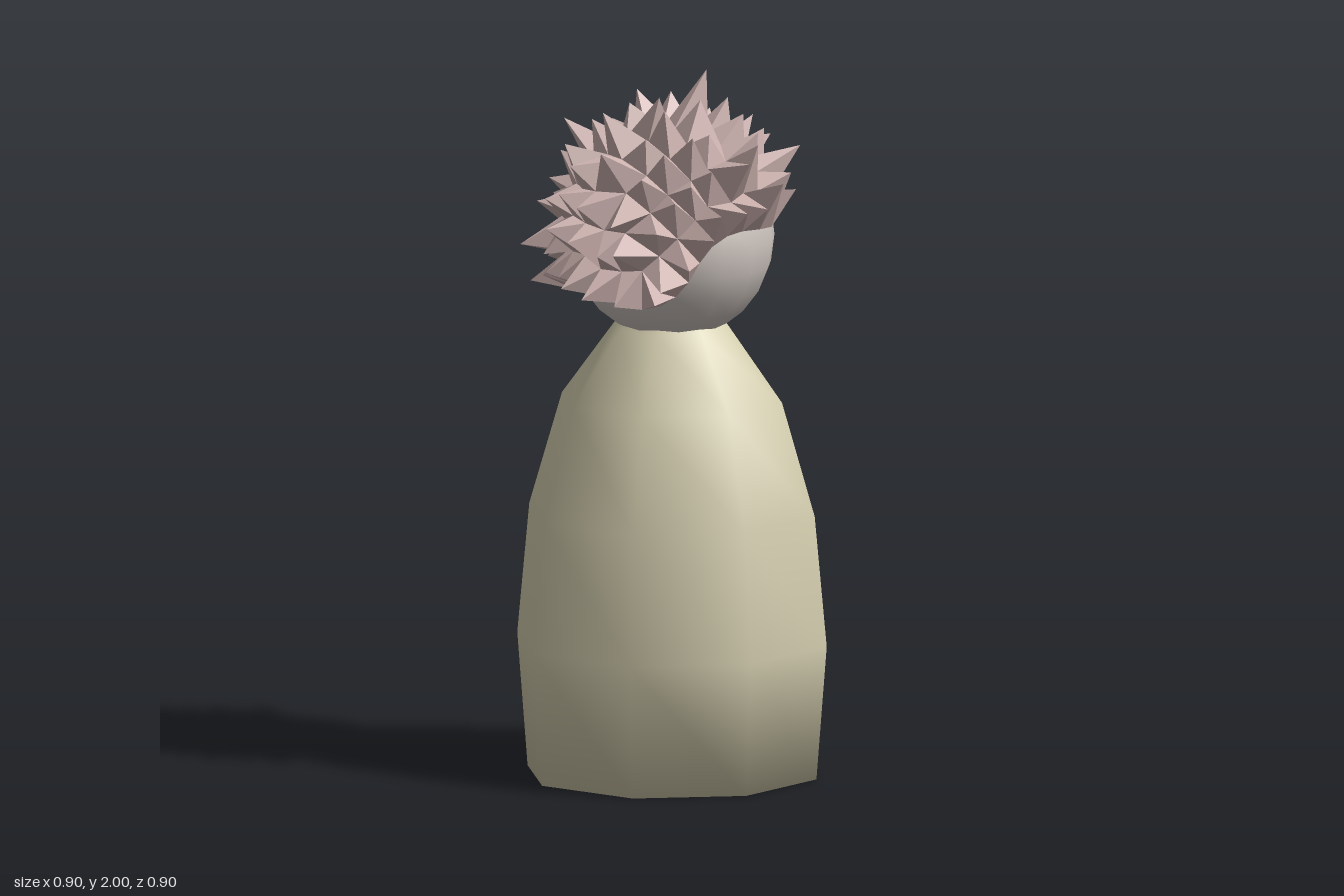
import * as THREE from 'three';

const CENTER = new THREE.Vector3(0, 1.53, 0);
const HEAD_R = 0.29;

function seeded(seed) {
  return () => {
    seed = (seed * 16807) % 2147483647;
    return seed / 2147483647;
  };
}

// Point on the tilted, square-cornered cap; u and v run from -1 to 1
function capPoint(u, v, radius) {
  let r = 0, phi = 0;
  if (Math.abs(u) > Math.abs(v)) {
    r = u;
    phi = (Math.PI / 4) * (v / u);
  } else if (v !== 0) {
    r = v;
    phi = Math.PI / 2 - (Math.PI / 4) * (u / v);
  }
  const reach = THREE.MathUtils.degToRad(82 + 18 * Math.sin(2 * phi) ** 2);
  const theta = r * reach;
  const a = Math.sin(theta) * Math.cos(phi);
  const b = Math.sin(theta) * Math.sin(phi);
  const c = Math.cos(theta);
  return new THREE.Vector3(a * 0.87 - c * 0.5, a * 0.5 + c * 0.87, -b)
    .normalize().multiplyScalar(radius).add(CENTER);
}

// Hair: every cell of the cap is pulled out into a four-sided spike
function hairGeometry() {
  const N = 9, R = 0.302;
  const rand = seeded(77);
  const at = (i) => (2 * i) / N - 1;
  const grid = [];
  for (let i = 0; i <= N; i++) {
    grid.push([]);
    for (let j = 0; j <= N; j++) {
      const edge = i === 0 || j === 0 || i === N || j === N;
      const jitter = edge ? 0 : 0.05;
      grid[i].push(capPoint(
        at(i) + (rand() - 0.5) * jitter, at(j) + (rand() - 0.5) * jitter,
        R + rand() * 0.012));
    }
  }

  const cells = [];
  for (let i = 0; i < N; i++) {
    for (let j = 0; j < N; j++) {
      const mid = capPoint(at(i + 0.5), at(j + 0.5), 1).sub(CENTER);
      const length = 0.365 + rand() * 0.055 + 0.02 * Math.max(mid.y, 0);
      const tip = mid.clone().multiplyScalar(length).add(CENTER);
      tip.x += (rand() - 0.5) * 0.05;
      tip.y += (rand() - 0.5) * 0.04;
      tip.z += (rand() - 0.5) * 0.05;
      cells.push({ i, j, mid, tip, taken: false });
    }
  }

  // The longest tufts
  const tufts = [
    [0.1, 2.0, 0.02], [0.33, 1.79, -0.02], [0.34, 1.78, 0.13],
    [-0.02, 1.74, -0.38], [0.04, 1.79, 0.37], [0.16, 1.72, 0.35],
    [-0.37, 1.5, -0.08], [-0.33, 1.76, 0.0], [-0.07, 1.94, 0.05],
    [0.06, 1.78, -0.35], [-0.33, 1.62, 0.23], [0.16, 1.7, -0.33],
  ];
  for (const t of tufts) {
    const tip = new THREE.Vector3(...t);
    const dir = tip.clone().sub(CENTER).normalize();
    let best = null;
    for (const c of cells) {
      if (!c.taken && (!best || c.mid.dot(dir) > best.mid.dot(dir))) best = c;
    }
    best.tip = tip;
    best.taken = true;
  }

  const pos = [];
  const tri = (...pts) => pts.forEach((p) => pos.push(p.x, p.y, p.z));
  for (const { i, j, tip } of cells) {
    const ring = [grid[i][j], grid[i + 1][j], grid[i + 1][j + 1], grid[i][j + 1]];
    for (let k = 0; k < 4; k++) tri(ring[k], ring[(k + 1) % 4], tip);
  }

  // Rim that turns in to the head
  const rim = [];
  for (let k = 0; k < N; k++) rim.push(grid[k][0]);
  for (let k = 0; k < N; k++) rim.push(grid[N][k]);
  for (let k = N; k > 0; k--) rim.push(grid[k][N]);
  for (let k = N; k > 0; k--) rim.push(grid[0][k]);
  const inner = rim.map((p) => p.clone().sub(CENTER).setLength(0.27).add(CENTER));
  rim.forEach((p, k) => {
    const n = (k + 1) % rim.length;
    tri(p, inner[k], inner[n]);
    tri(p, inner[n], rim[n]);
  });

  const g = new THREE.BufferGeometry();
  g.setAttribute('position', new THREE.Float32BufferAttribute(pos, 3));
  g.computeVertexNormals();
  return g;
}

export function createModel() {
  const group = new THREE.Group();
  const add = (name, geometry, color, options = {}) => {
    const mesh = new THREE.Mesh(
      geometry, new THREE.MeshStandardMaterial({ color, ...options }));
    mesh.name = name;
    group.add(mesh);
    return mesh;
  };

  // Eight-sided robe-like body, closed below
  const profile = [
    [0, 0], [0.42, 0], [0.45, 0.38], [0.415, 0.75], [0.32, 1.07], [0.17, 1.275], [0.1, 1.36],
  ].map(([r, y]) => new THREE.Vector2(r, y));
  add('body', new THREE.LatheGeometry(profile, 8), 0xd3cdae);

  add('head', new THREE.SphereGeometry(HEAD_R, 16, 12), 0xcfc6c0).position.copy(CENTER);

  add('hair', hairGeometry(), 0xcdb3b0, { flatShading: true, side: THREE.DoubleSide });

  return group;
}
